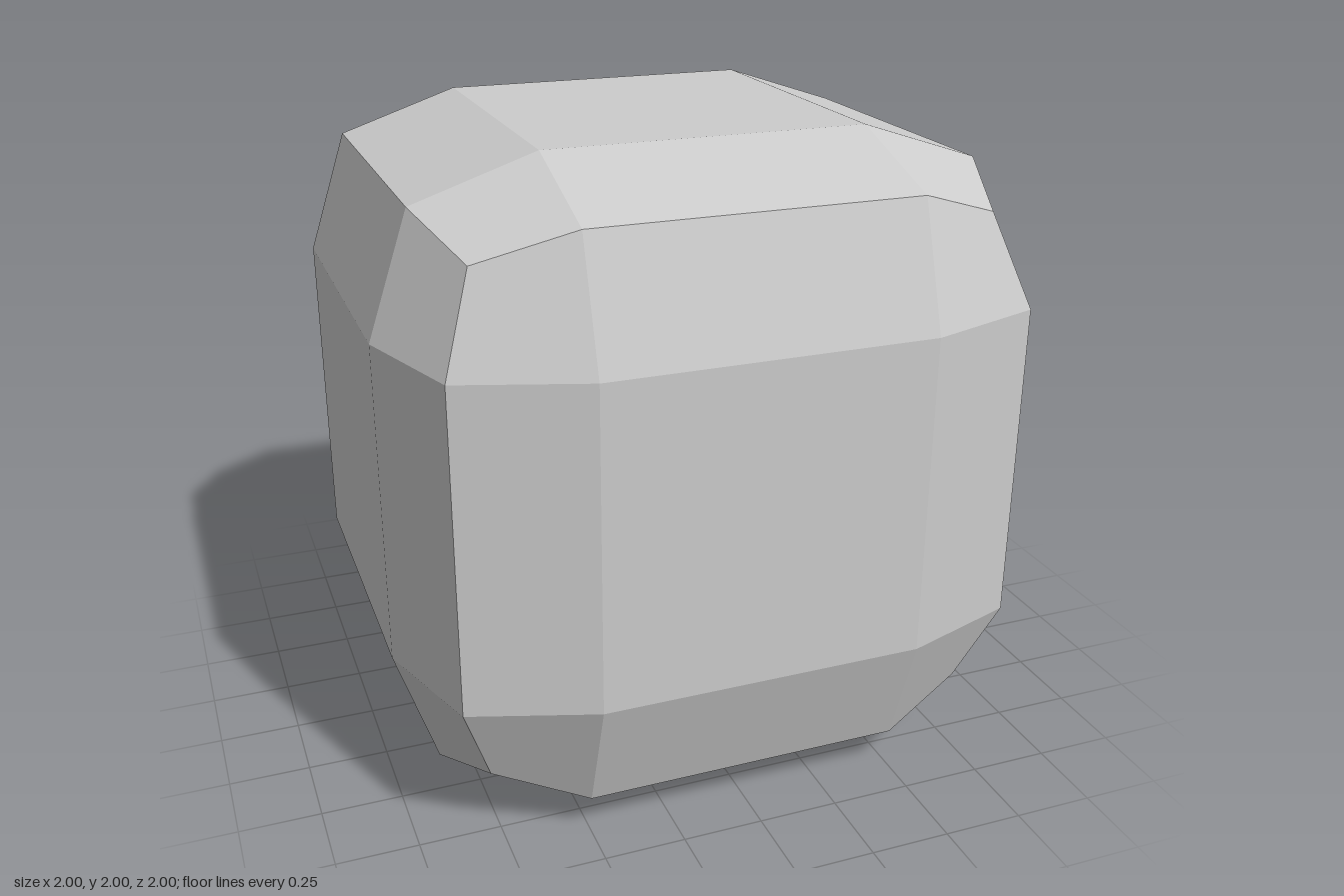
import * as THREE from 'three';

// Grid point of the softened cube: pulled inwards on edges and further at corners
const INNER = 0.5;
const OUTER = [0, 1, 0.875, 0.78]; // by how many axes lie on the outside
function soften(p) {
  const count = p.filter((c) => Math.abs(c) === 3).length;
  return new THREE.Vector3(...p.map((c) => Math.sign(c) * (Math.abs(c) === 3 ? OUTER[count] : INNER)));
}

// One side as a 3 x 3 grid of flat-shaded quads, facing along the given axis
function addSide(axis, sign, positions, normals) {
  const steps = [-3, -1, 1, 3];
  const point = (i, j) => {
    const p = [0, 0, 0];
    p[axis] = 3 * sign;
    p[(axis + 1) % 3] = steps[i] * sign;
    p[(axis + 2) % 3] = steps[j];
    return soften(p);
  };
  for (let i = 0; i < 3; i++) {
    for (let j = 0; j < 3; j++) {
      const q = [point(i, j), point(i + 1, j), point(i + 1, j + 1), point(i, j + 1)];
      const normal = q[2].clone().sub(q[0]).cross(q[3].clone().sub(q[1])).normalize();
      // Corner quads fold along the diagonal that runs to the cube's corner
      const order = (i - 1) * (j - 1) >= 0 ? [0, 1, 2, 0, 2, 3] : [0, 1, 3, 1, 2, 3];
      for (const k of order) {
        positions.push(...q[k].toArray());
        normals.push(...normal.toArray());
      }
    }
  }
}

export function createModel() {
  const positions = [];
  const normals = [];
  for (let axis = 0; axis < 3; axis++) {
    for (const sign of [1, -1]) addSide(axis, sign, positions, normals);
  }
  const geometry = new THREE.BufferGeometry();
  geometry.setAttribute('position', new THREE.Float32BufferAttribute(positions, 3));
  geometry.setAttribute('normal', new THREE.Float32BufferAttribute(normals, 3));

  const cube = new THREE.Mesh(geometry, new THREE.MeshStandardMaterial({ color: 0xcccccc }));
  cube.name = 'bevelledCube';
  cube.position.y = 1;

  const group = new THREE.Group();
  group.name = 'roundedBlock';
  group.add(cube);
  return group;
}
